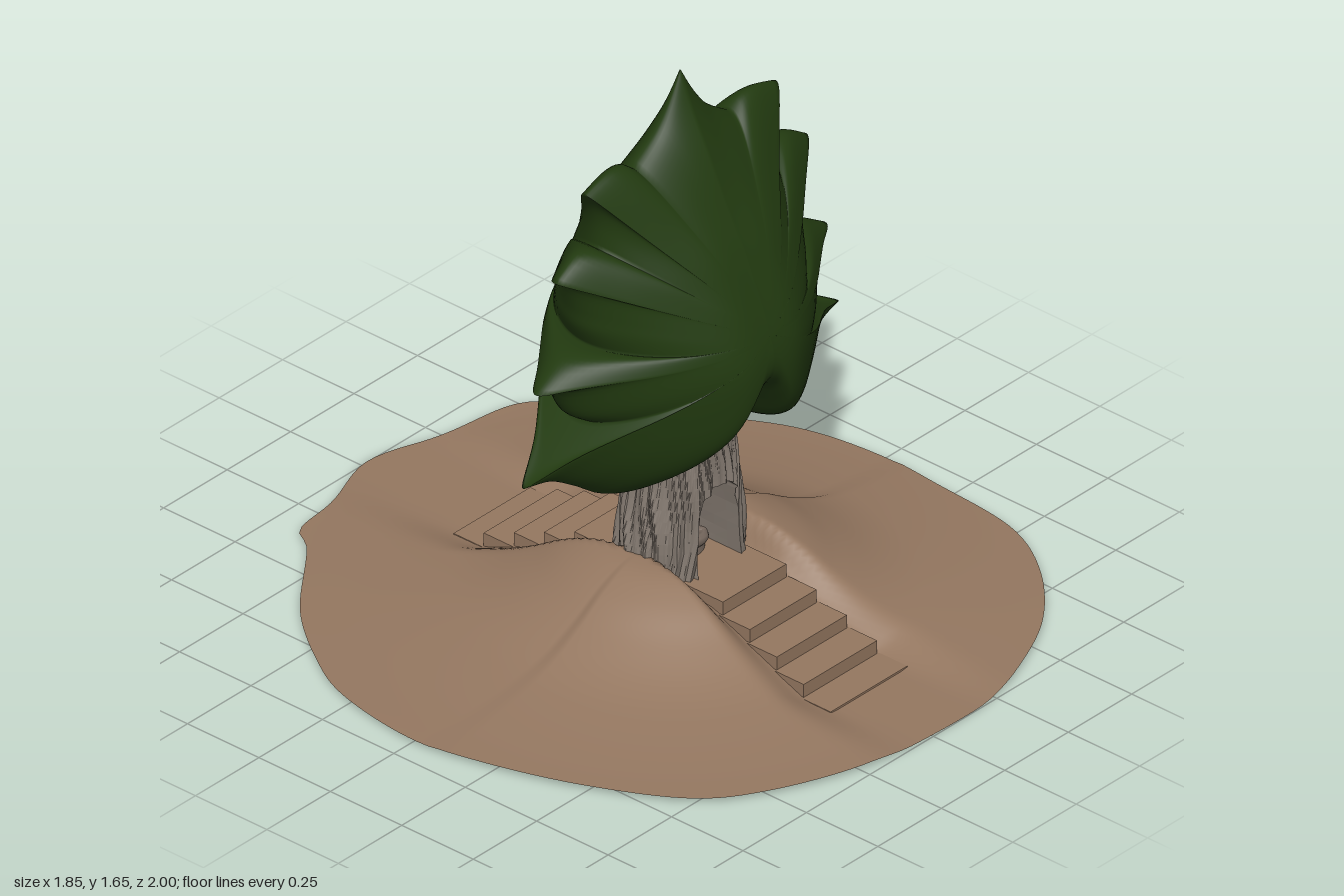
import * as THREE from 'three';
import { mergeVertices } from 'three/addons/utils/BufferGeometryUtils.js';

const CX = 0.05, CZ = 0.07; // centre of the tree
const DS = THREE.DoubleSide;
const leafGreen = new THREE.MeshStandardMaterial({ color: 0x223a10, side: DS, name: 'leaf green' });
const earth = new THREE.MeshStandardMaterial({ color: 0x947760, side: DS, name: 'earth' });
const bark = new THREE.MeshStandardMaterial({ color: 0x81776e, side: DS, name: 'bark grey' });
const stone = new THREE.MeshStandardMaterial({ color: 0x74665c, name: 'statue stone' });

// Smooth interpolation through [x, y] pairs
function sample(t, x) {
  const n = t.length;
  if (x <= t[0][0]) return t[0][1];
  if (x >= t[n - 1][0]) return t[n - 1][1];
  let i = 0;
  while (x > t[i + 1][0]) i++;
  const slope = (k) => {
    const a = t[Math.max(k - 1, 0)], b = t[Math.min(k + 1, n - 1)];
    return (b[1] - a[1]) / (b[0] - a[0]);
  };
  const h = t[i + 1][0] - t[i][0], u = (x - t[i][0]) / h, u2 = u * u, u3 = u2 * u;
  return (2 * u3 - 3 * u2 + 1) * t[i][1] + (u3 - 2 * u2 + u) * h * slope(i)
    + (3 * u2 - 2 * u3) * t[i + 1][1] + (u3 - u2) * h * slope(i + 1);
}

// Surface from fn(i, j) -> [x, y, z], smooth or faceted
function grid(nu, nv, fn, faceted = false) {
  const pos = [], idx = [];
  for (let i = 0; i <= nu; i++) for (let j = 0; j <= nv; j++) pos.push(...fn(i, j));
  for (let i = 0; i < nu; i++) for (let j = 0; j < nv; j++) {
    const a = i * (nv + 1) + j, b = a + nv + 1;
    idx.push(a, b, a + 1, b, b + 1, a + 1);
  }
  let g = new THREE.BufferGeometry();
  g.setAttribute('position', new THREE.Float32BufferAttribute(pos, 3));
  g.setIndex(idx);
  g = faceted ? g.toNonIndexed() : mergeVertices(g, 1e-5);
  g.computeVertexNormals();
  return g;
}

function add(parent, name, geo, mat, x = 0, y = 0, z = 0) {
  const m = new THREE.Mesh(geo, mat);
  m.name = name;
  m.position.set(x, y, z);
  parent.add(m);
  return m;
}

// Mound with a sunken stairway running front to back
const slope = [[0, 0.23], [0.2, 0.23], [0.3, 0.192], [0.4, 0.13], [0.5, 0.08], [0.6, 0.05], [0.8, 0.022], [1, 0.01]];
function groundHeight(x, z) {
  const dx = Math.abs(x - CX), d = Math.abs(z - CZ);
  const h = sample(slope, Math.hypot(x - CX, z - CZ) * (z > CZ ? 0.95 : 1));
  const floor = Math.min(h, Math.max(0.004, 0.14 - Math.max(0, d - 0.22) * 0.4));
  const k = THREE.MathUtils.smoothstep(dx, 0.125, 0.15 + Math.min(d, 0.6) * 0.2);
  return THREE.MathUtils.lerp(floor, h, k);
}
function makeGround() {
  const rim = [[0.02, -1], [0.27, -0.93], [0.5, -0.88], [0.62, -0.72], [0.75, -0.5], [0.88, -0.25], [0.92, 0],
    [0.91, 0.2], [0.88, 0.5], [0.78, 0.68], [0.6, 0.85], [0.4, 0.95], [0.25, 0.995], [-0.05, 0.995], [-0.25, 0.97],
    [-0.5, 0.87], [-0.65, 0.76], [-0.8, 0.5], [-0.9, 0.2], [-0.93, 0], [-0.88, -0.3], [-0.8, -0.45],
    [-0.66, -0.63], [-0.4, -0.84], [-0.36, -0.9], [-0.2, -0.93]].map(([x, z]) => new THREE.Vector3(x, 0, z));
  const curve = new THREE.CatmullRomCurve3(rim, true, 'centripetal');
  const N = 180, M = 48, pts = curve.getSpacedPoints(N);
  return grid(N, M, (i, j) => {
    const s = j / M, p = pts[i % N];
    const x = CX + s * (p.x - CX), z = CZ + s * (p.z - CZ);
    return [x, groundHeight(x, z), z];
  });
}

// Crown: half outline as curves between leaf tips and valleys, [offset from centre, height]
function crownOutline() {
  const runs = [
    [[0, 1.65], [0.045, 1.57], [0.1, 1.5], [0.19, 1.435]],
    [[0.19, 1.435], [0.23, 1.462], [0.29, 1.465], [0.376, 1.44]],
    [[0.376, 1.44], [0.335, 1.38], [0.322, 1.32], [0.327, 1.25]],
    [[0.327, 1.25], [0.365, 1.27], [0.42, 1.265], [0.495, 1.22]],
    [[0.495, 1.22], [0.435, 1.18], [0.41, 1.1], [0.4, 1.04], [0.37, 0.975]],
    [[0.37, 0.975], [0.42, 0.978], [0.48, 0.963], [0.57, 0.91]],
    [[0.57, 0.91], [0.505, 0.89], [0.45, 0.8], [0.395, 0.757]],
    [[0.395, 0.757], [0.475, 0.71], [0.55, 0.67], [0.62, 0.645]],
    [[0.62, 0.645], [0.525, 0.625], [0.425, 0.565], [0.34, 0.505], [0.267, 0.49], [0.18, 0.535], [0.115, 0.635],
      [0.06, 0.715], [0, 0.75]],
  ];
  const half = [];
  for (const r of runs) {
    const n = (r.length - 1) * 4;
    const p = new THREE.SplineCurve(r.map((q) => new THREE.Vector2(...q))).getPoints(n);
    half.push(...p.slice(0, n));
  }
  half.push(new THREE.Vector2(0, 0.75));
  const other = half.slice(1, -1).reverse().map((p) => new THREE.Vector2(-p.x, p.y));
  return [...half, ...other];
}
function makeCrown() {
  const byHeight = [[0.48, 0.22], [0.6, 0.295], [0.75, 0.325], [0.92, 0.325], [1.15, 0.24], [1.3, 0.165], [1.45, 0.1], [1.55, 0.055], [1.65, 0.02]];
  const byWidth = [[0, 1], [0.1, 0.98], [0.2, 0.85], [0.3, 0.67], [0.4, 0.46], [0.5, 0.27], [0.62, 0.12]];
  const out = crownOutline(), N = out.length, M = 44, core = 0.96;
  return grid(N, M, (i, j) => {
    const a = (j / M - 0.5) * Math.PI, s = Math.cos(a), p = out[i % N];
    const x = s * p.x, y = core + s * (p.y - core);
    const puff = Math.sqrt(Math.max(0, 1 - s ** 5));
    const z = Math.sign(a) * sample(byHeight, y) * sample(byWidth, Math.abs(x)) * puff;
    return [CX + x, y, CZ + z];
  });
}

// Trunk surface: gnarled, grooved, tapering upward
const U0 = Math.acos(0.49); // angle of the doorway edge
const halfX = [[0, 0.185], [0.25, 0.172], [0.35, 0.16], [0.5, 0.138], [0.62, 0.122], [0.85, 0.08]];
const halfZ = [[0, 0.17], [0.3, 0.155], [0.5, 0.145], [0.85, 0.1]];
function trunkPoint(a, y) {
  const w = a + 0.12 * Math.sin(y * 11 + a * 2);
  const groove = 0.03 * Math.sin(w * 23) + 0.025 * Math.sin(w * 37 + y * 9) + 0.025 * Math.sin(w * 9 - y * 14);
  const r = 1 + groove;
  return [CX + sample(halfX, y) * r * Math.cos(a), y, CZ + sample(halfZ, y) * r * Math.sin(a)];
}
const doorTop = (a) => 0.35 + 0.082 * Math.sqrt(Math.max(0, 1 - (Math.cos(a) / 0.49) ** 2));
function makeTrunk() {
  const g = new THREE.Group();
  g.name = 'trunk';
  const top = 0.85, V = 26;
  const wall = (name, a0, a1, n, bottom) => add(g, name, grid(n, V, (i, j) => {
    const a = a0 + (a1 - a0) * i / n, b = bottom(a);
    return trunkPoint(a, b + (top - b) * j / V);
  }, true), bark);
  wall('leftTrunkWall', -U0, U0, 56, () => 0.03);
  wall('rightTrunkWall', Math.PI - U0, Math.PI + U0, 56, () => 0.03);
  wall('frontTrunkWall', U0, Math.PI - U0, 36, doorTop);
  wall('backTrunkWall', -Math.PI + U0, -U0, 36, doorTop);
  // passage through the trunk
  const through = (a, y, t) => {
    const p = trunkPoint(a, y), q = trunkPoint(-a, y);
    return p.map((v, k) => v + (q[k] - v) * t);
  };
  add(g, 'doorwayArch', grid(36, 6, (i, j) => {
    const a = U0 + (Math.PI - 2 * U0) * i / 36;
    return through(a, doorTop(a), j / 6);
  }, true), bark);
  for (const a of [U0, Math.PI - U0])
    add(g, 'doorwayJamb', grid(10, 6, (i, j) => through(a, 0.03 + 0.032 * i, j / 6), true), bark);
  // roots reaching into the soil
  for (let i = 0; i < 22; i++) {
    const a = (i % 2 ? Math.PI : 0) + (Math.floor(i / 2) / 10 - 0.5) * 2 * U0;
    const root = add(g, 'root', new THREE.ConeGeometry(0.012, 0.12, 5), bark,
      CX + 0.155 * Math.cos(a), 0.07, CZ + 0.14 * Math.sin(a));
    root.rotation.set(Math.PI + 0.3 * Math.sin(a), 0, 0.3 * Math.cos(a));
  }
  return g;
}

// Steps on both sides of the doorway, plus the floor between them
function makeStairs() {
  const g = new THREE.Group();
  g.name = 'stairs';
  add(g, 'doorwayFloor', new THREE.BoxGeometry(0.25, 0.05, 0.52), earth, CX, 0.145, CZ);
  for (const side of [1, -1]) for (let i = 1; i < 5; i++) {
    const y = 0.17 - 0.04 * i, h = Math.min(0.06, y);
    add(g, 'step', new THREE.BoxGeometry(0.25 + 0.013 * i, h, 0.11), earth, CX, y - h / 2, CZ + side * (0.205 + 0.1 * i));
  }
  return g;
}

// Seated figure in the doorway
function makeStatue() {
  const g = new THREE.Group();
  g.name = 'seatedStatue';
  const ball = (name, x, y, z, sx, sy, sz) =>
    add(g, name, new THREE.SphereGeometry(1, 20, 14), stone, x, y, z).scale.set(sx, sy, sz);
  const limb = (name, r, pts) => add(g, name, new THREE.TubeGeometry(
    new THREE.CatmullRomCurve3(pts.map((p) => new THREE.Vector3(...p))), 14, r, 8), stone);
  add(g, 'plinth', new THREE.CylinderGeometry(0.068, 0.072, 0.018, 28), stone, 0, 0.009, 0).scale.z = 0.8;
  const body = [[0, 0.015], [0.042, 0.02], [0.036, 0.06], [0.034, 0.08], [0.044, 0.115], [0.046, 0.13], [0.034, 0.147], [0.013, 0.155], [0.012, 0.175], [0, 0.176]];
  add(g, 'torso', new THREE.LatheGeometry(body.map((p) => new THREE.Vector2(...p)), 24), stone).scale.z = 0.65;
  for (const s of [1, -1]) {
    limb('leg', 0.016, [[s * 0.02, 0.034, 0], [s * 0.055, 0.034, 0.018], [s * 0.045, 0.032, 0.04], [-s * 0.02, 0.034, 0.045]]);
    limb('arm', 0.011, [[s * 0.044, 0.134, 0], [s * 0.055, 0.1, 0], [s * 0.05, 0.07, 0.01], [s * 0.01, 0.058, 0.035]]);
    ball('knee', s * 0.055, 0.034, 0.025, 0.016, 0.016, 0.018);
    ball('ear', s * 0.021, 0.185, 0, 0.004, 0.012, 0.006);
  }
  ball('hands', 0, 0.056, 0.037, 0.018, 0.01, 0.012);
  ball('head', 0, 0.188, 0.003, 0.021, 0.026, 0.023);
  ball('hairBun', 0, 0.214, -0.002, 0.012, 0.012, 0.012);
  add(g, 'hairTip', new THREE.ConeGeometry(0.007, 0.022, 10), stone, 0, 0.231, -0.002);
  g.position.set(CX, 0.17, CZ);
  return g;
}

export function createModel() {
  const model = new THREE.Group();
  model.name = 'treeShrine';
  add(model, 'mound', makeGround(), earth);
  add(model, 'crown', makeCrown(), leafGreen);
  model.add(makeTrunk(), makeStairs(), makeStatue());
  return model;
}
